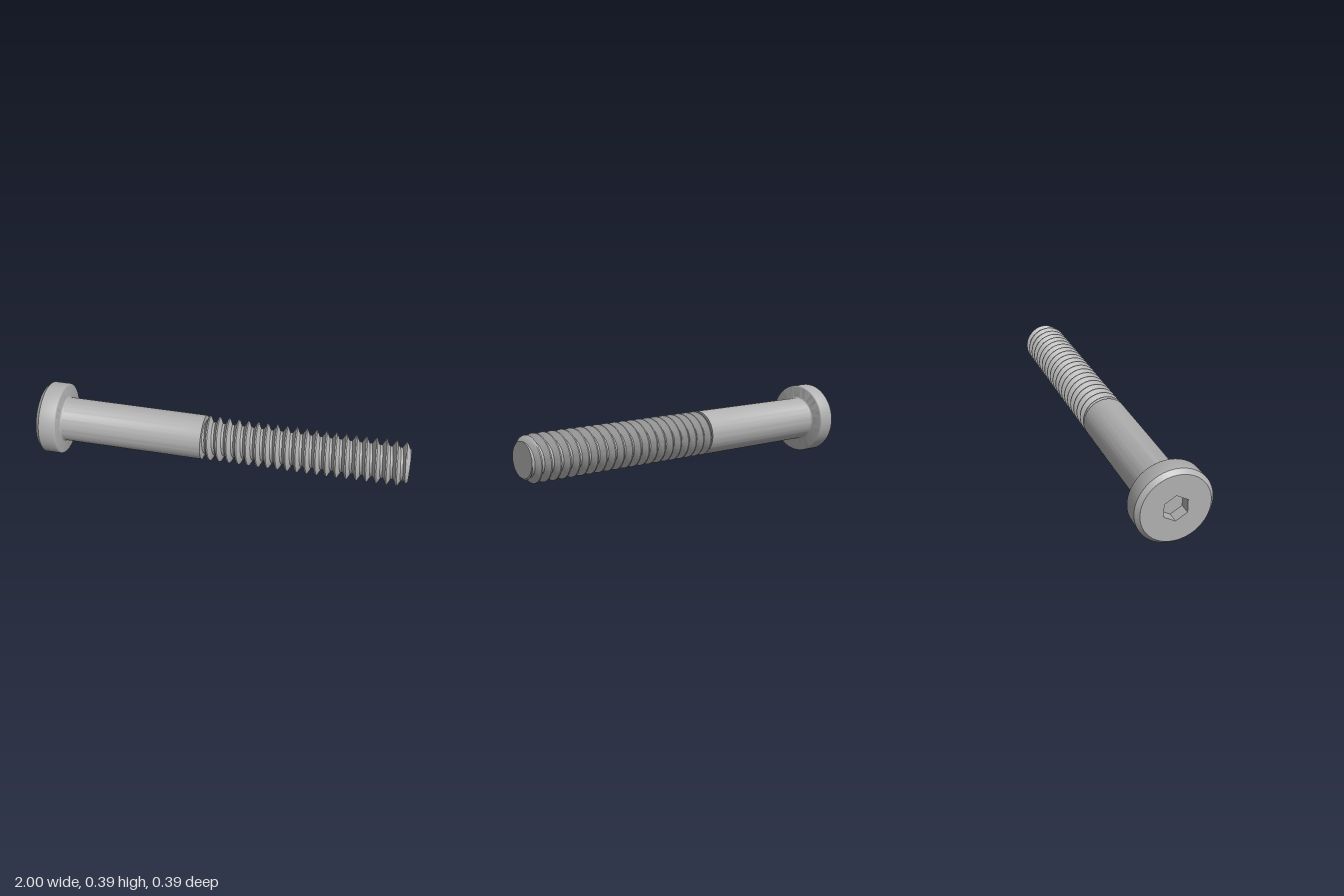
import * as THREE from 'three';
import { toCreasedNormals } from 'three/addons/utils/BufferGeometryUtils.js';

const AXIS_Y = 0.196;
const HEAD_R = 0.196, SHANK_R = 0.12, ROOT_R = 0.088, TIP_R = 0.09;
const HEAD_X = -1, NECK_X = -0.885, THREAD_X = -0.1, TIP_X = 1;
const PITCH = 0.0526, FACE_R = 0.176, SOCKET_R = 0.068, SOCKET_DEPTH = 0.06;

// Quarter-circle fillet points in (radius, axial) coordinates
function arc(cx, cy, r, from, to, n = 5) {
  return Array.from({ length: n + 1 }, (_, i) => {
    const a = from + (to - from) * i / n;
    return new THREE.Vector2(cx + r * Math.cos(a), cy + r * Math.sin(a));
  });
}

// Revolved solid with its axis laid along x
function revolve(points) {
  const geo = new THREE.LatheGeometry(points, 96).rotateZ(-Math.PI / 2);
  return toCreasedNormals(geo, 0.5);
}

// Thread radius over one pitch: root flat, flank, crest flat, flank
function threadRadius(t) {
  const d = Math.abs(t - 0.5);
  const k = THREE.MathUtils.clamp((0.375 - d) / 0.3125, 0, 1);
  return ROOT_R + (SHANK_R - ROOT_R) * k;
}

// Right-handed helical surface, trimmed at both ends and chamfered at the tip
function threadGeometry() {
  const seg = 72, start = THREAD_X - 0.002;
  const steps = [0, 0.125, 0.21, 0.28, 0.36, 0.4375, 0.5625, 0.64, 0.72, 0.79, 0.875];
  const turns = Math.ceil((TIP_X - start) / PITCH) + 1;
  const rows = turns * steps.length;
  const pos = [], index = [];
  for (let i = 0; i <= rows; i++) {
    const t = steps[i % steps.length];
    const turn = Math.floor(i / steps.length) - 1;
    for (let j = 0; j <= seg; j++) {
      const a = (j / seg) * Math.PI * 2;
      const x = THREE.MathUtils.clamp(start + (turn + t + j / seg) * PITCH, start, TIP_X);
      const r = Math.min(threadRadius(t), TIP_R + (TIP_X - x));
      pos.push(x, r * Math.cos(a), r * Math.sin(a));
      if (i < rows && j < seg) {
        const p = i * (seg + 1) + j, q = p + seg + 1;
        index.push(p, p + 1, q, p + 1, q + 1, q);
      }
    }
  }
  const geo = new THREE.BufferGeometry();
  geo.setAttribute('position', new THREE.Float32BufferAttribute(pos, 3));
  geo.setIndex(index);
  return toCreasedNormals(geo, 0.5);
}

export function createModel() {
  const steel = new THREE.MeshStandardMaterial({ color: 0xb0b0b0 });
  steel.name = 'steel grey';
  const bolt = new THREE.Group();
  bolt.name = 'bolt';
  bolt.position.y = AXIS_Y;
  const add = (name, geo) => {
    const mesh = new THREE.Mesh(geo, steel);
    mesh.name = name;
    bolt.add(mesh);
    return mesh;
  };

  // Head rim with chamfered outer edge, rounded underside and neck fillet, then plain shank
  const V = (r, x) => new THREE.Vector2(r, x);
  add('headAndShank', revolve([
    V(FACE_R, HEAD_X),
    V(HEAD_R, HEAD_X + 0.022),
    ...arc(HEAD_R - 0.01, NECK_X - 0.01, 0.01, 0, Math.PI / 2),
    ...arc(SHANK_R + 0.012, NECK_X + 0.012, 0.012, Math.PI * 1.5, Math.PI),
    V(SHANK_R, THREAD_X),
    V(0, THREAD_X),
  ]));

  // Head face pierced by the hexagonal socket
  const face = new THREE.Shape().absarc(0, 0, FACE_R, 0, Math.PI * 2);
  const hex = new THREE.Path();
  hex.setFromPoints(Array.from({ length: 7 }, (_, i) => {
    const a = Math.PI / 2 - i * Math.PI / 3;
    return V(SOCKET_R * Math.cos(a), SOCKET_R * Math.sin(a));
  }));
  face.holes.push(hex);
  const faceGeo = new THREE.ExtrudeGeometry(face, {
    depth: SOCKET_DEPTH, bevelEnabled: false, curveSegments: 96,
  });
  add('headFace', faceGeo.rotateY(Math.PI / 2)).position.x = HEAD_X;

  // Socket floor
  const floor = new THREE.CircleGeometry(SOCKET_R + 0.01, 32).rotateY(-Math.PI / 2);
  add('socketFloor', floor).position.x = HEAD_X + SOCKET_DEPTH - 0.001;

  // Threaded end and its flat tip
  add('thread', threadGeometry());
  const tip = new THREE.CircleGeometry(TIP_R, 72).rotateY(Math.PI / 2);
  add('tip', tip).position.x = TIP_X;

  const root = new THREE.Group();
  root.add(bolt);
  return root;
}
